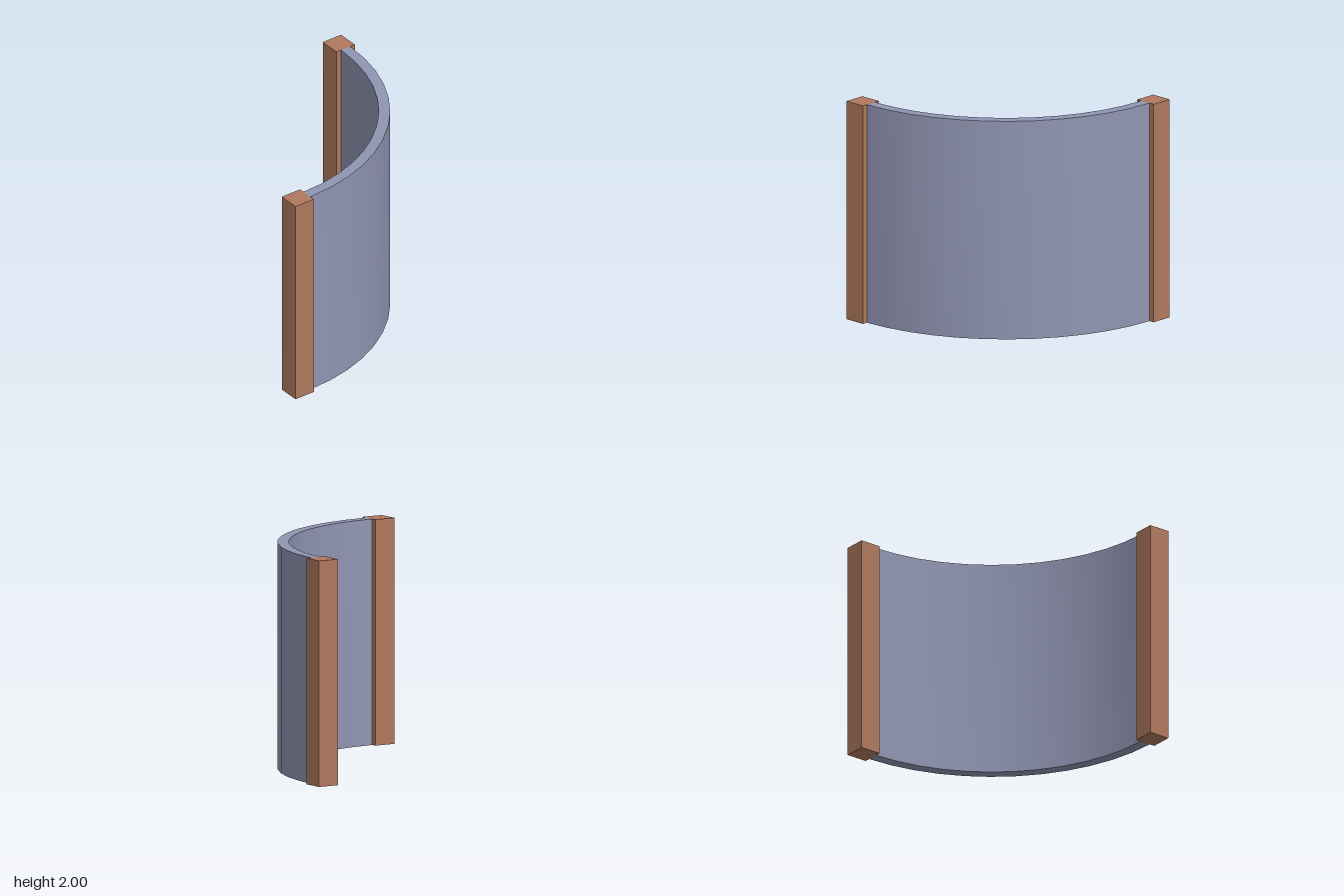
import * as THREE from 'three';
import { toCreasedNormals } from 'three/addons/utils/BufferGeometryUtils.js';

const HEIGHT = 2;
const POST = 0.2;
const SEGMENTS = 12;
const INNER = 1.65;
const OUTER = 1.75;

export function createModel() {
  const group = new THREE.Group();
  group.name = 'curvedWall';

  const brick = new THREE.MeshStandardMaterial({ color: 0xb0785e });
  brick.name = 'terracotta';
  const panel = new THREE.MeshStandardMaterial({ color: 0x9095b2 });
  panel.name = 'slateBlue';

  // Square end posts
  const postGeometry = new THREE.BoxGeometry(POST, HEIGHT, POST);
  for (const [name, x, z] of [['rightFrontPost', -0.9, 0.9], ['leftBackPost', 0.9, -0.9]]) {
    const post = new THREE.Mesh(postGeometry, brick);
    post.name = name;
    post.position.set(x, HEIGHT / 2, z);
    group.add(post);
  }

  // Quarter-ring wall between the posts, centred on the back right corner
  const arc = (radius) => Array.from({ length: SEGMENTS + 1 }, (_, i) => {
    const a = -Math.PI / 2 + (i / SEGMENTS) * Math.PI / 2;
    return new THREE.Vector2(-0.8 + radius * Math.cos(a), 0.8 + radius * Math.sin(a));
  });
  const outline = new THREE.Shape([...arc(OUTER), ...arc(INNER).reverse()]);
  const wallGeometry = new THREE.ExtrudeGeometry(outline, { depth: HEIGHT, bevelEnabled: false, steps: 1 });
  wallGeometry.rotateX(-Math.PI / 2);
  const wall = new THREE.Mesh(toCreasedNormals(wallGeometry, 0.5), panel);
  wall.name = 'curvedPanel';
  group.add(wall);

  return group;
}
